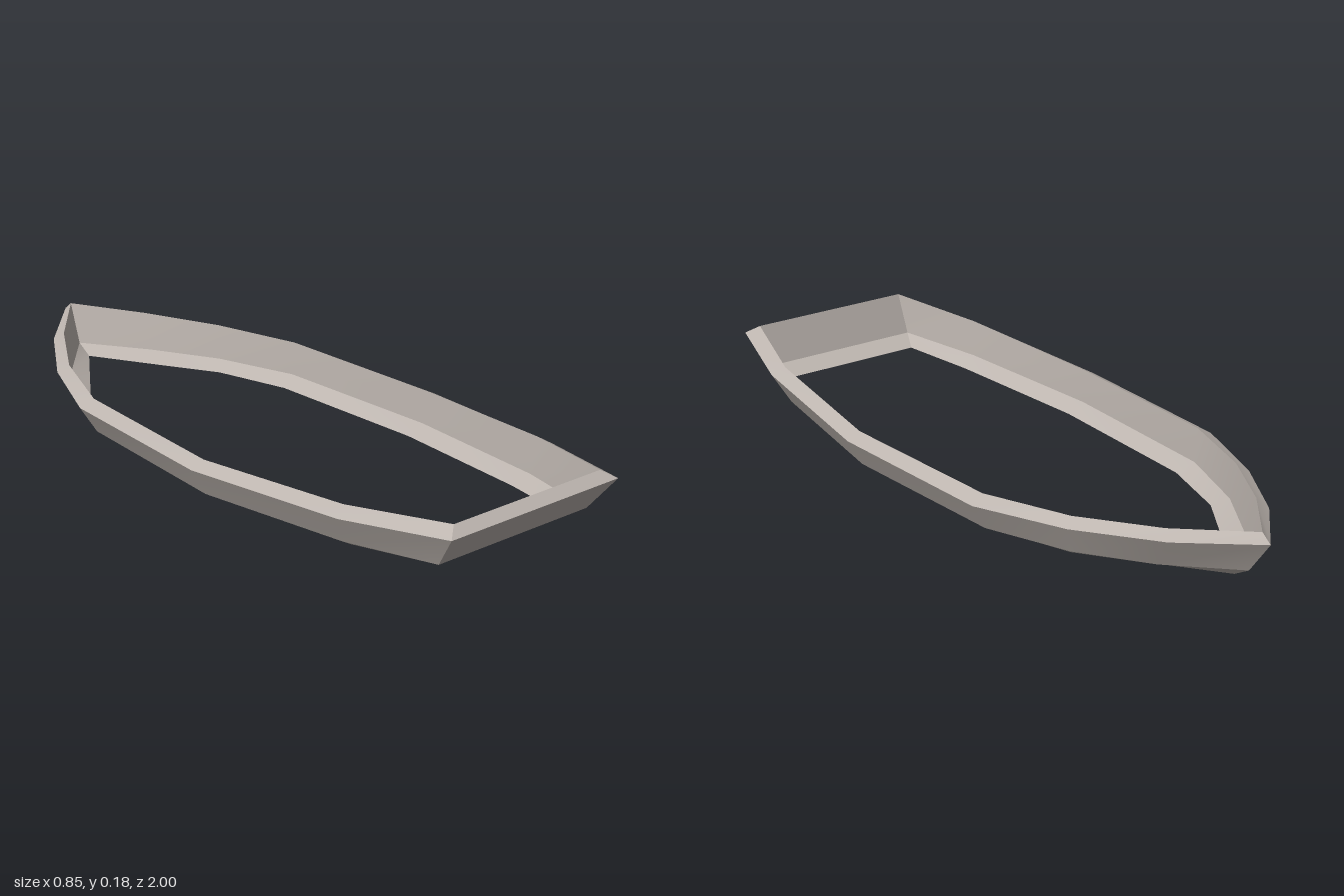
import * as THREE from 'three';

// Half outlines, bow to stern: [x, y, z]
const outerRim = [[0, 0.135, -1], [0.165, 0.12, -0.82], [0.3, 0.11, -0.6], [0.4, 0.104, -0.34], [0.427, 0.105, 0.2], [0.37, 0.13, 0.7], [0.285, 0.156, 1]];
const innerRim = [[0, 0.158, -0.97], [0.148, 0.142, -0.79], [0.272, 0.131, -0.58], [0.36, 0.125, -0.33], [0.388, 0.125, 0.2], [0.335, 0.152, 0.68], [0.25, 0.178, 0.97]];
const chine = [[0, 0.04, -0.93], [0.145, 0.032, -0.76], [0.265, 0.028, -0.57], [0.353, 0.026, -0.33], [0.383, 0.027, 0.2], [0.325, 0.046, 0.67], [0.255, 0.06, 0.93]];
const floorEdge = [[0, 0.011, -0.88], [0.121, 0.006, -0.7], [0.235, 0.002, -0.53], [0.305, 0, -0.31], [0.33, 0.002, 0.2], [0.28, 0.018, 0.65], [0.225, 0.035, 0.865]];

const mirror = (line) => line.map(([x, y, z]) => [-x, y, z]);
const reverse = (line) => [...line].reverse();

// Strip of quads between two lines; smooth along its length
function strip(a, b) {
  const index = [];
  const n = a.length;
  for (let i = 0; i < n - 1; i++) {
    index.push(i, n + i, i + 1, i + 1, n + i, n + i + 1);
  }
  const geo = new THREE.BufferGeometry();
  geo.setAttribute('position', new THREE.Float32BufferAttribute([...a, ...b].flat(), 3));
  geo.setIndex(index);
  geo.computeVertexNormals();
  return geo;
}

export function createModel() {
  const model = new THREE.Group();
  model.name = 'boatHull';
  const hullGrey = new THREE.MeshStandardMaterial({ color: 0xbdb5af, side: THREE.DoubleSide });
  hullGrey.name = 'hullGrey';

  // Bands across the hull wall, each running around the whole boat
  const bands = [
    ['outerPlanking', outerRim, chine],
    ['gunwale', innerRim, outerRim],
    ['innerPlanking', chine, innerRim],
    ['bilgeStrip', chine, floorEdge],
  ];
  for (const [name, a, b] of bands) {
    const band = new THREE.Group();
    band.name = name;
    const add = (part, p, q) => {
      const mesh = new THREE.Mesh(strip(p, q), hullGrey);
      mesh.name = name + part;
      band.add(mesh);
    };
    // Both sides, then the flat transom joining them
    const stern = (line) => [line[6], mirror(line)[6]];
    add('Left', reverse(a), reverse(b));
    add('Right', mirror(a), mirror(b));
    add('Transom', reverse(stern(a)), reverse(stern(b)));
    model.add(band);
  }
  return model;
}
